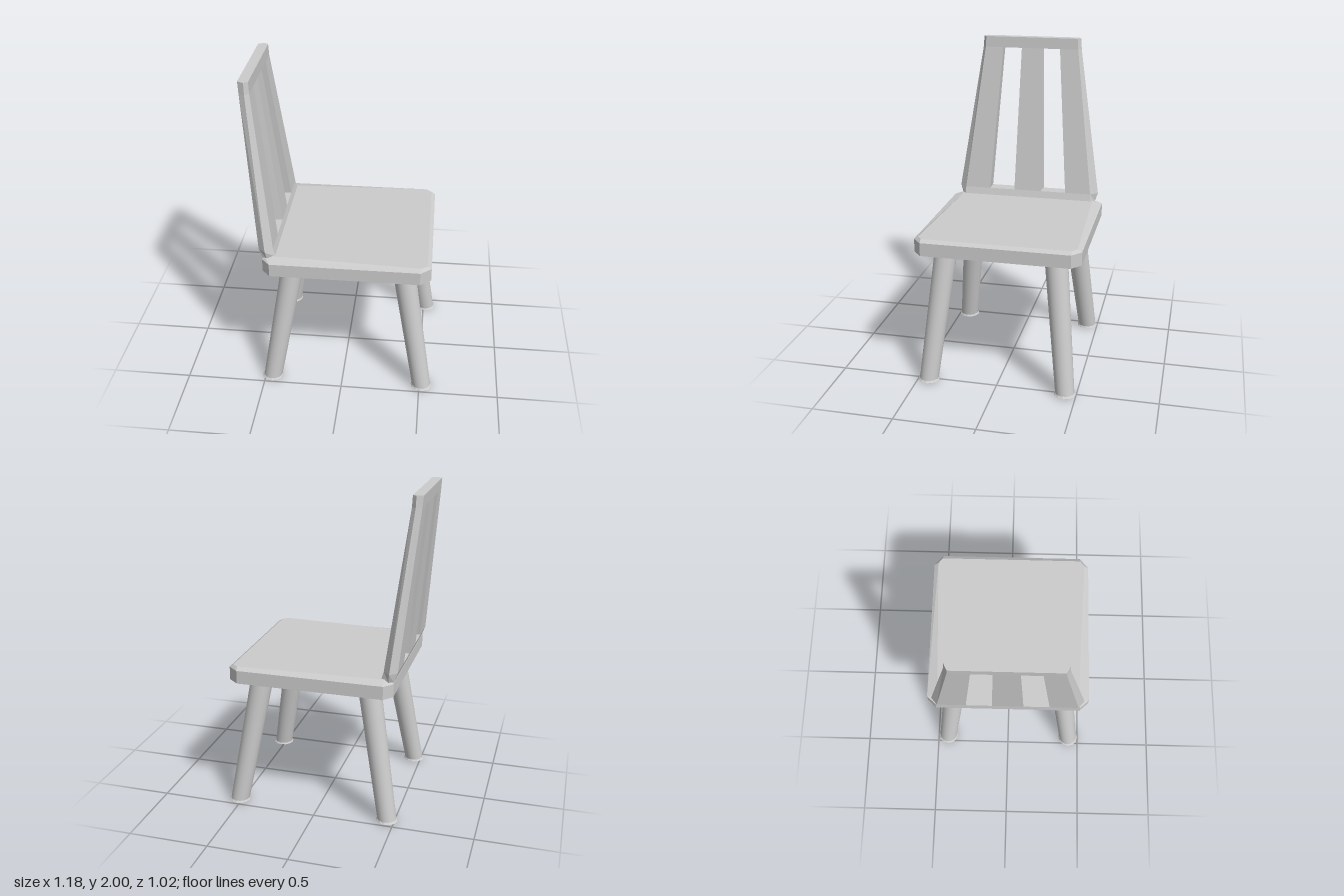
import * as THREE from 'three';

const grey = new THREE.MeshStandardMaterial({ color: 0xcccccc, flatShading: true });
const smoothGrey = new THREE.MeshStandardMaterial({ color: 0xcccccc });

// Flat-sided solid through horizontal convex rings { y, pts: [[x, z], ...] }, bottom to top.
function loft(rings, caps = true) {
  const pos = [];
  const put = (ring, i) => {
    const [x, z] = ring.pts[i % ring.pts.length];
    pos.push(x, ring.y, z);
  };
  const n = rings[0].pts.length;
  for (let r = 0; r < rings.length - 1; r++) {
    const lo = rings[r], hi = rings[r + 1];
    for (let i = 0; i < n; i++) {
      put(lo, i); put(hi, i); put(hi, i + 1);
      put(lo, i); put(hi, i + 1); put(lo, i + 1);
    }
  }
  if (caps) {
    const lo = rings[0], hi = rings[rings.length - 1];
    for (let i = 1; i < n - 1; i++) {
      put(lo, 0); put(lo, i); put(lo, i + 1);
      put(hi, 0); put(hi, i + 1); put(hi, i);
    }
  }
  const g = new THREE.BufferGeometry();
  g.setAttribute('position', new THREE.Float32BufferAttribute(pos, 3));
  g.computeVertexNormals();
  return g;
}

// Completes a half outline (z > 0, running from +x to -x) by mirroring it in z.
const mirrored = (half) => [...half, ...half.map(([x, z]) => [x, -z]).reverse()];
const flipRing = ({ y, pts }) => ({ y, pts: pts.map(([x, z]) => [x, -z]).reverse() });

export function createModel() {
  const chair = new THREE.Group();
  chair.name = 'chair';
  const add = (name, geometry, material = grey) => {
    const mesh = new THREE.Mesh(geometry, material);
    mesh.name = name;
    chair.add(mesh);
    return mesh;
  };

  // Seat: clipped corners and a bevel that widens towards the back
  const rim = mirrored([[0.54, 0.455], [0.475, 0.51], [-0.43, 0.51], [-0.48, 0.455]]);
  const top = mirrored([[0.515, 0.455], [0.48, 0.483], [-0.42, 0.445], [-0.475, 0.43]]);
  add('seat', loft([{ y: 0.84, pts: rim }, { y: 0.922, pts: rim }, { y: 0.94, pts: top }]));

  // Backrest levels: x of front face, edge ridge, back face, and their half widths
  const levels = [
    { y: 0.93, xf: -0.4, xm: -0.45, xb: -0.48, hf: 0.43, hm: 0.46, hb: 0.445 },
    { y: 0.985, xf: -0.415, xm: -0.457, xb: -0.5, hf: 0.43, hm: 0.477, hb: 0.44, slot: 0.26, slat: 0.09 },
    { y: 1.93, xf: -0.53, xm: -0.555, xb: -0.59, hf: 0.31, hm: 0.33, hb: 0.312, slot: 0.19, slat: 0.065 },
    { y: 2, xf: -0.533, xm: -0.557, xb: -0.595, hf: 0.306, hm: 0.325, hb: 0.306 },
  ];
  const railRing = (l) => ({ y: l.y, pts: mirrored([[l.xf, l.hf], [l.xm, l.hm], [l.xb, l.hb]]) });
  add('lowerBackRail', loft([railRing(levels[0]), railRing(levels[1])]));
  add('upperBackRail', loft([railRing(levels[2]), railRing(levels[3])]));

  // Side stiles and centre slat between the rails
  const middle = levels.slice(1, 3);
  const stile = middle.map((l) => ({
    y: l.y,
    pts: [[l.xf, l.slot], [l.xf, l.hf], [l.xm, l.hm], [l.xb, l.hb], [l.xb, l.slot]],
  }));
  add('leftStile', loft(stile, false));
  add('rightStile', loft(stile.map(flipRing), false));
  add('centreSlat', loft(middle.map((l) => ({
    y: l.y,
    pts: mirrored([[l.xf, l.slat], [l.xb, l.slat + 0.008]]),
  })), false));

  // Splayed legs: upright turnings sheared outward, each with a thin flared foot
  const legs = [
    ['front', 0.37, 0.515],
    ['back', -0.31, -0.455],
  ];
  for (const [end, xTop, xFoot] of legs) {
    for (const side of [1, -1]) {
      const name = end + (side > 0 ? 'Left' : 'Right');
      const zTop = 0.34 * side, zFoot = 0.432 * side;
      const shear = (geometry) => geometry.applyMatrix4(new THREE.Matrix4().set(
        1, (xTop - xFoot) / 0.84, 0, xFoot,
        0, 1, 0, 0,
        0, (zTop - zFoot) / 0.84, 1, zFoot,
        0, 0, 0, 1));
      const shaft = new THREE.CylinderGeometry(0.071, 0.059, 0.845, 24, 1, true);
      add(name + 'Leg', shear(shaft.translate(0, 0.4325, 0)), smoothGrey);
      const profile = [[0, 0], [0.056, 0], [0.068, 0.006], [0.059, 0.018]];
      const foot = new THREE.LatheGeometry(profile.map(([r, y]) => new THREE.Vector2(r, y)), 12);
      add(name + 'Foot', shear(foot));
    }
  }
  return chair;
}
